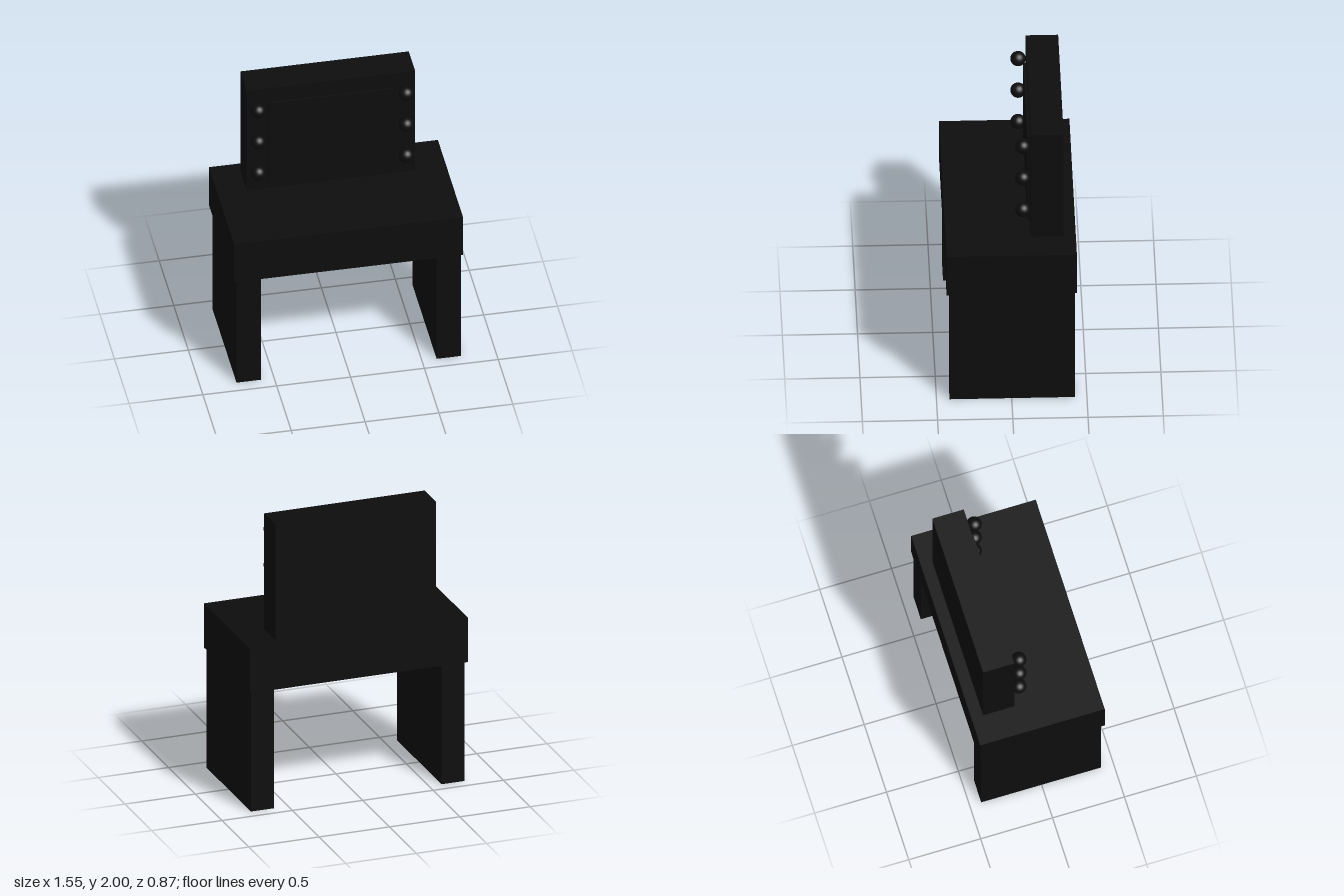
import * as THREE from 'three';

export function createModel() {
  const model = new THREE.Group();
  const material = new THREE.MeshStandardMaterial({ color: 0x0d0d0d });

  // Box given by its minimum and maximum corners
  function box(name, [x0, y0, z0], [x1, y1, z1]) {
    const mesh = new THREE.Mesh(new THREE.BoxGeometry(x1 - x0, y1 - y0, z1 - z0), material);
    mesh.name = name;
    mesh.position.set((x0 + x1) / 2, (y0 + y1) / 2, (z0 + z1) / 2);
    model.add(mesh);
  }

  // Table: thick top on two slab legs
  box('tableTop', [-0.775, 0.855, -0.433], [0.775, 1.17, 0.433]);
  box('rightLeg', [-0.755, 0, -0.42], [-0.59, 0.855, 0.413]);
  box('leftLeg', [0.6, 0, -0.42], [0.765, 0.855, 0.413]);

  // Upright mirror: backing board with a thin raised pane
  box('mirrorBoard', [-0.578, 1.17, -0.352], [0.562, 2, -0.134]);
  box('mirrorPane', [-0.43, 1.2, -0.15], [0.415, 1.885, -0.115]);

  // Round bulbs in a column on each side of the pane
  const bulbGeometry = new THREE.SphereGeometry(0.051, 32, 20);
  const bulbs = new THREE.Group();
  bulbs.name = 'bulbs';
  for (const x of [-0.51, 0.492]) {
    for (const y of [1.345, 1.602, 1.86]) {
      const bulb = new THREE.Mesh(bulbGeometry, material);
      bulb.name = 'bulb';
      bulb.position.set(x, y, -0.083);
      bulbs.add(bulb);
    }
  }
  model.add(bulbs);

  return model;
}
